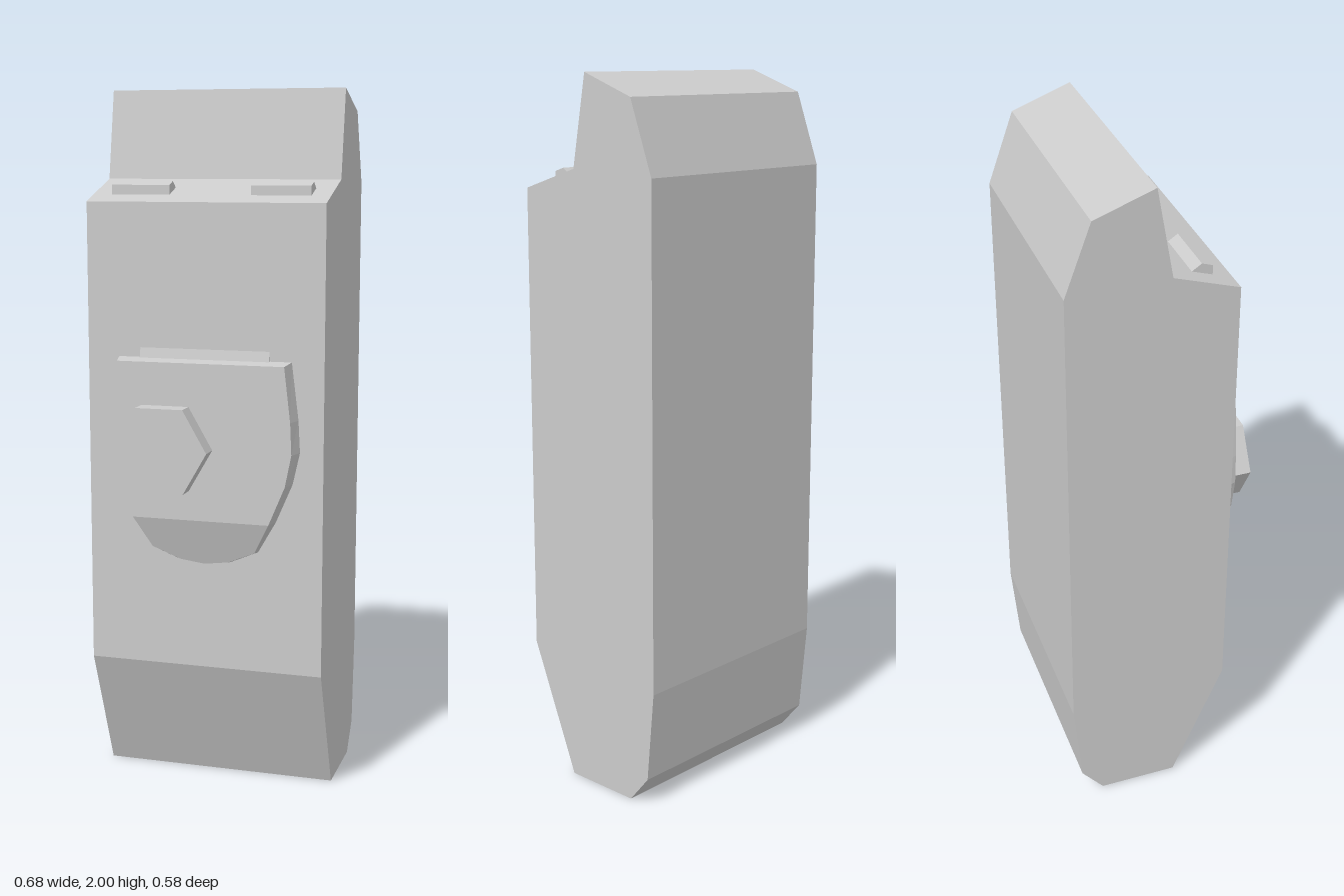
import * as THREE from 'three';

const material = new THREE.MeshStandardMaterial({ color: 0xcccccc, flatShading: true, side: THREE.DoubleSide });

function addMesh(parent, geometry, name) {
  const mesh = new THREE.Mesh(geometry, material);
  mesh.name = name;
  parent.add(mesh);
  return mesh;
}

// Side profile of [z, y] points swept along x, centred on x = 0
function sweepX(profile, width) {
  const shape = new THREE.Shape(profile.map(([z, y]) => new THREE.Vector2(-z, y)));
  const geometry = new THREE.ExtrudeGeometry(shape, { depth: width, bevelEnabled: false });
  return geometry.translate(0, 0, -width / 2).rotateY(Math.PI / 2);
}

// Shield plate lofted from rows of [y, half width at back, half width at front]
function shieldGeometry() {
  const back = 0.183, front = 0.23;
  const rows = [
    [1.26, 0.25, 0.24], [1.1, 0.27, 0.258], [1.01, 0.275, 0.262], [0.92, 0.255, 0.244],
    [0.81, 0.208, 0.198], [0.72, 0.157, 0.15], [0.685, 0.075, 0.07], [0.675, 0.001, 0.001],
  ];
  const positions = [];
  rows.forEach(([y, wb, wf], i) => {
    const z = y >= 0.81 ? front : back + (front - back) * (y - 0.675) / 0.135;
    const frontY = i === 0 ? y - 0.007 : y;
    positions.push(-wb, y, back, -wf, frontY, z, wf, frontY, z, wb, y, back);
  });
  const indices = [0, 1, 2, 0, 2, 3].reverse(); // top edge
  for (let r = 0; r < rows.length - 1; r++) {
    for (let c = 0; c < 3; c++) {
      const a = r * 4 + c, b = a + 4;
      indices.push(a, b, a + 1, a + 1, b, b + 1);
    }
  }
  const geometry = new THREE.BufferGeometry();
  geometry.setAttribute('position', new THREE.Float32BufferAttribute(positions, 3));
  geometry.setIndex(indices);
  const flat = geometry.toNonIndexed();
  flat.computeVertexNormals();
  return flat;
}

export function createModel() {
  const model = new THREE.Group();
  model.name = 'casing';

  // Main body with chamfered ends and a stepped shoulder
  addMesh(model, sweepX([
    [0.03, 0], [-0.2, 0], [-0.265, 0.08], [-0.288, 0.34], [-0.283, 1.74],
    [-0.21, 1.94], [-0.045, 2], [0, 1.75], [0.183, 1.69], [0.183, 0.37],
  ], 0.683), 'body');

  // Two small ridged tabs on the shoulder
  for (const side of [-1, 1]) {
    const tab = addMesh(model, sweepX([
      [0.127, 1.705], [0.127, 1.735], [0.097, 1.745], [0.07, 1.727], [0.07, 1.72],
    ], 0.17), side < 0 ? 'rightTab' : 'leftTab');
    tab.position.x = side * 0.202;
  }

  // Raised shield plate with a thin strip above it
  addMesh(model, shieldGeometry(), 'shieldPlate');
  addMesh(model, sweepX([[0.18, 1.25], [0.18, 1.287], [0.183, 1.287], [0.192, 1.25]], 0.374), 'topStrip');

  // Hexagonal knob, offset to one side
  const knob = new THREE.CylinderGeometry(0.137, 0.137, 0.059, 6).rotateY(Math.PI / 2).rotateX(Math.PI / 2);
  knob.rotateZ(0);
  addMesh(model, knob, 'hexKnob').position.set(-0.1, 1.013, 0.258);

  return model;
}
